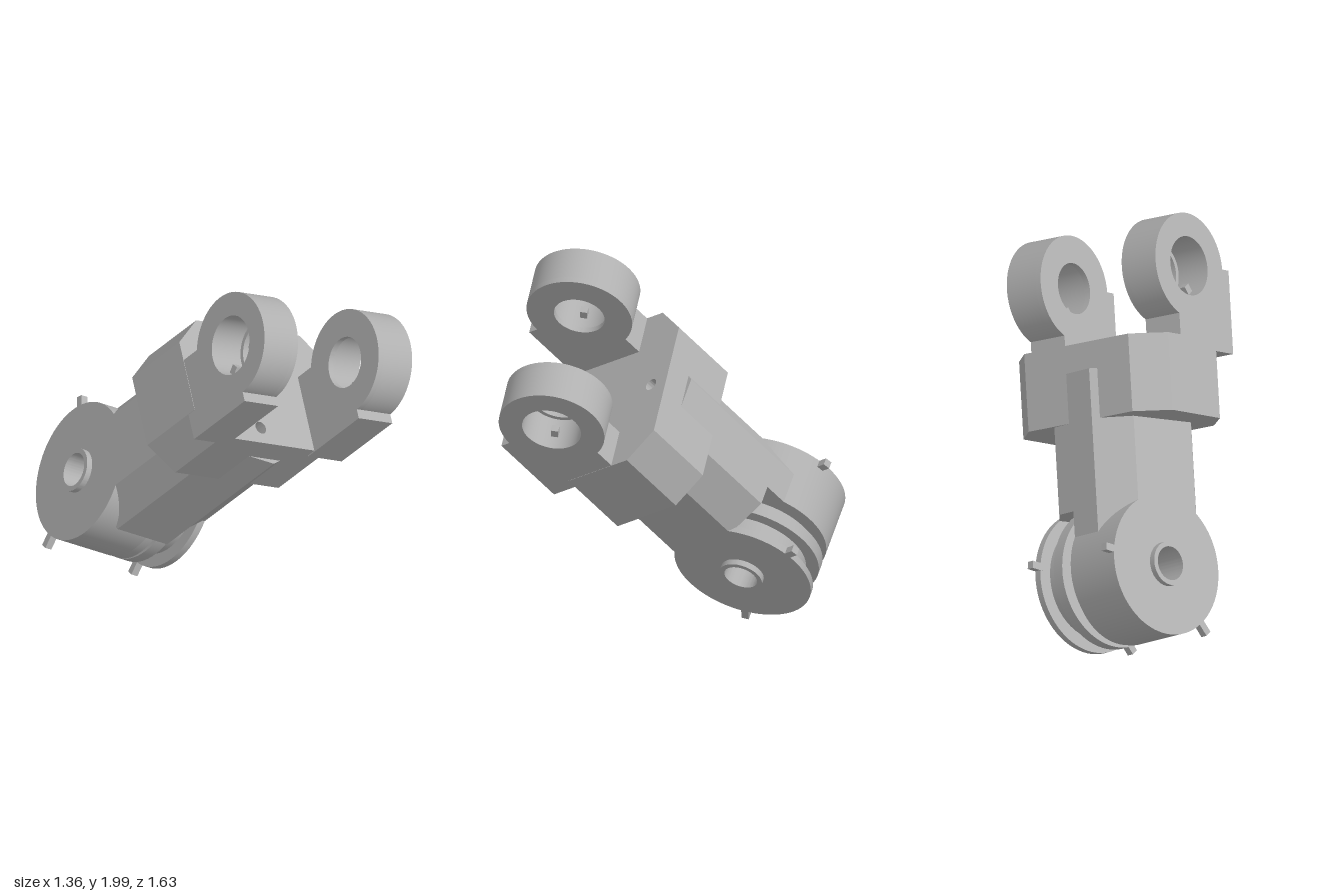
import * as THREE from 'three';
import { toCreasedNormals } from 'three/addons/utils/BufferGeometryUtils.js';

export function createModel() {
  const gray = new THREE.MeshStandardMaterial({ color: 0xb0b0b0 });
  gray.name = 'machined gray';

  const polygon = (pts) => new THREE.Shape(pts.map(([x, y]) => new THREE.Vector2(x, y)));
  const circlePath = (path, x, y, r) => path.absarc(x, y, r, 0, Math.PI * 2, false);

  const addMesh = (parent, name, geometry) => {
    const mesh = new THREE.Mesh(geometry, gray);
    mesh.name = name;
    parent.add(mesh);
    return mesh;
  };
  const extrude = (shape, depth) =>
    new THREE.ExtrudeGeometry(shape, { depth, bevelEnabled: false, curveSegments: 40 });

  // Slab across the joint axis: shape in (-z, y), running from x0 to x1
  const slab = (parent, name, shape, x0, x1) => {
    const g = extrude(shape, x1 - x0).rotateY(Math.PI / 2).translate(x0, 0, 0);
    return addMesh(parent, name, toCreasedNormals(g, 0.5));
  };
  // Upright prism: shape in (x, -z), running from y0 to y1
  const prism = (parent, name, shape, y0, y1) => {
    const g = extrude(shape, y1 - y0).rotateX(-Math.PI / 2).translate(0, y0, 0);
    return addMesh(parent, name, toCreasedNormals(g, 0.5));
  };
  // Ring about a joint axis at (y, z); the outer circle may be off-centre
  const ring = (parent, name, y, z, r, hole, x0, x1, dy = 0, dz = 0) => {
    const s = circlePath(new THREE.Shape(), -z - dz, y + dy, r);
    s.holes.push(circlePath(new THREE.Path(), -z, y, hole));
    return slab(parent, name, s, x0, x1);
  };
  // Square pin pointing out from a joint axis along (dirY, dirZ)
  const pin = (parent, name, x, y, z, dirY, dirZ, r0, r1) => {
    const t = Math.atan2(dirZ, dirY), r = (r0 + r1) / 2;
    const m = addMesh(parent, name, new THREE.BoxGeometry(0.036, r1 - r0, 0.036));
    m.position.set(x, y + Math.cos(t) * r, z + Math.sin(t) * r);
    m.rotation.x = t;
  };

  // Tilted frame of the whole link
  const up = new THREE.Vector3(0.277, 0.746, 0.605).normalize();
  const side = new THREE.Vector3(0.883, -0.445, 0.143);
  side.addScaledVector(up, -side.dot(up)).normalize();
  const front = new THREE.Vector3().crossVectors(side, up);
  const link = new THREE.Group();
  link.name = 'fingerLink';
  link.quaternion.setFromRotationMatrix(new THREE.Matrix4().makeBasis(side, up, front));

  // ---- Lower limb, twisted a little against the head ----
  const limb = new THREE.Group();
  limb.name = 'lowerLimb';
  limb.rotation.y = -0.148;
  link.add(limb);

  const section = [
    [-0.836, 0.18], [-0.71, 0.058], [-0.41, 0.058], [-0.28, 0.15],
    [-0.28, 0.56], [-0.43, 0.704], [-0.695, 0.704], [-0.836, 0.56],
  ];
  prism(limb, 'shaft', polygon(section), 0.34, 1.015);
  prism(limb, 'shaftFoot', polygon([
    [-0.836, 0.18], [-0.71, 0.058], [-0.41, 0.058], [-0.41, 0.4],
    [-0.53, 0.4], [-0.53, 0.704], [-0.695, 0.704], [-0.836, 0.56],
  ]), 0.15, 0.34);
  prism(limb, 'plateFoot', polygon([
    [-0.315, 0.15], [-0.28, 0.15], [-0.28, 0.56], [-0.315, 0.56],
  ]), 0.15, 0.34);

  // Hub drum, grooves, fin, side plate and end bosses
  const HY = 0.054, HZ = -0.398, HR = 0.345, BORE = 0.083;
  ring(limb, 'hubDrum', HY, HZ, HR, BORE, -0.836, -0.53);
  ring(limb, 'eccentricGroove', HY, HZ, 0.3, BORE, -0.53, -0.47, -0.03, 0.032);
  ring(limb, 'hubFin', HY, HZ, HR, BORE, -0.47, -0.41);
  ring(limb, 'hubGroove', HY, HZ, 0.28, BORE, -0.41, -0.315);
  ring(limb, 'hubPlate', HY, HZ, HR, BORE, -0.315, -0.28);
  ring(limb, 'leftBoss', HY, HZ, 0.107, BORE, -0.28, -0.25);
  ring(limb, 'rightBoss', HY, HZ, 0.107, BORE, -0.866, -0.836);

  // Stop pins on the hub rims
  for (const x of [-0.298, -0.818]) {
    pin(limb, 'lowerStopPin', x, HY, HZ, -0.305, 0.244, 0.3, 0.41);
    pin(limb, 'upperStopPin', x, HY, HZ, 0.052, -0.361, 0.3, 0.395);
  }

  // ---- Head block with two screw holes ----
  const CX = -0.495;
  const half = [[0.32, 0.775], [0.46, 0.638], [0.46, 0.27], [0.32, 0.14]];
  const head = polygon([
    ...half.map(([x, z]) => [CX + x, z]),
    ...half.slice().reverse().map(([x, z]) => [CX - x, z]),
  ]);
  for (const [x, z] of [[-0.556, 0.224], [-0.493, 0.678]])
    head.holes.push(circlePath(new THREE.Path(), x, z, 0.032));
  prism(link, 'headBlock', head, 0.77, 1.152);

  // ---- Mirrored lugs with bearing rings ----
  const RY = 1.5, RZ = -0.444, RR = 0.26;
  const lugShape = polygon([
    [0.135, 1.1], [0.135, 1.51], [0.2, 1.51], [0.27, 1.34],
    [0.444, 1.3], [0.54, 1.32], [0.54, 1.1],
  ]);
  for (const s of [1, -1]) {
    const span = (p, q) => [CX + s * p, CX + s * q].sort((m, n) => m - n);
    slab(link, 'lug', lugShape, ...span(0.25, 0.458));
    ring(link, 'bearingRing', RY, RZ, RR, 0.145, ...span(0.28, 0.458));
    ring(link, 'bearingLip', RY, RZ, RR, 0.125, ...span(0.25, 0.28));
    pin(link, 'bearingPin', CX + s * 0.37, RY, RZ, -0.305, 0.244, 0.1, 0.2);
  }

  const model = new THREE.Group();
  model.name = 'jointedLink';
  model.add(link);
  return model;
}
